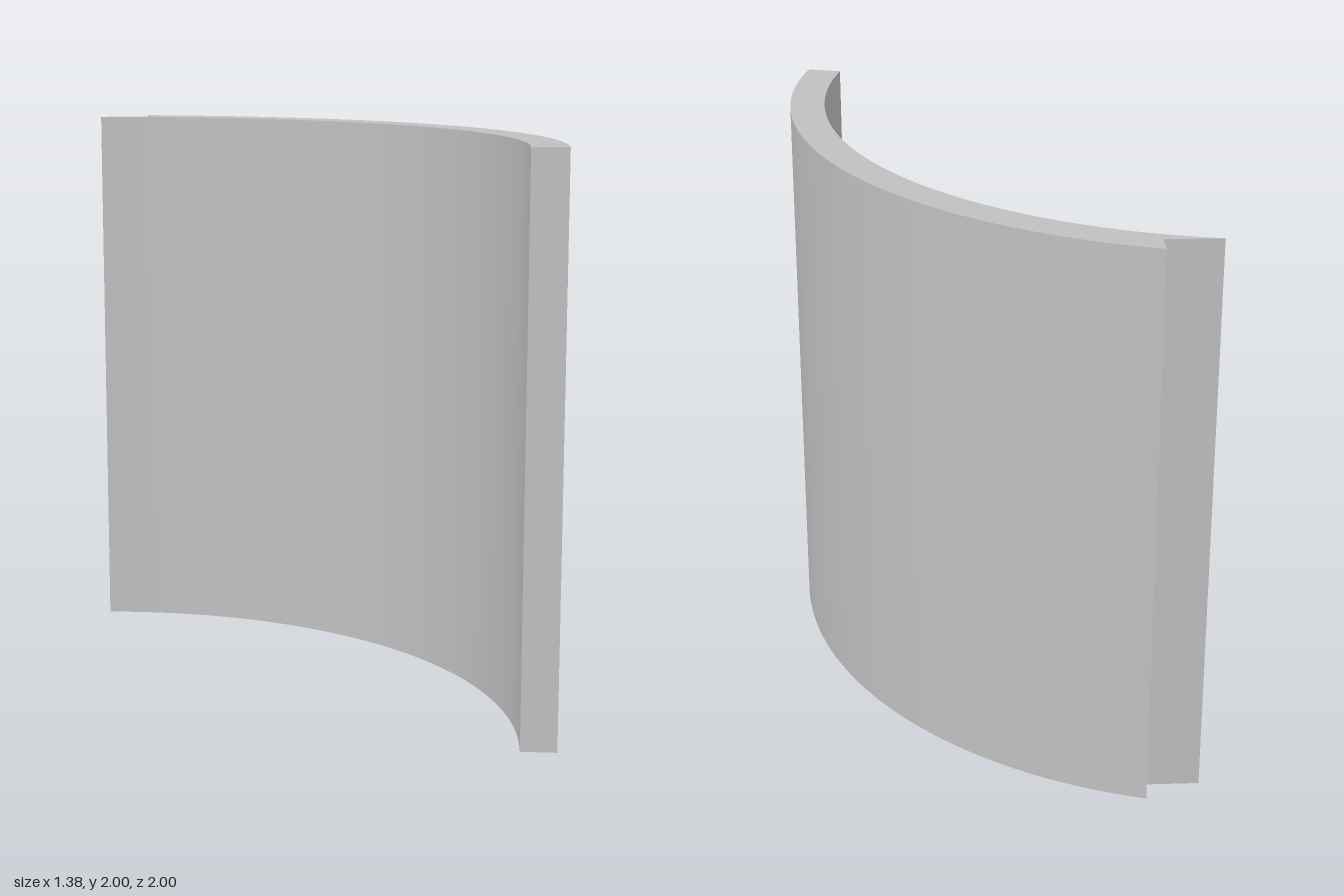
import * as THREE from 'three';
import { toCreasedNormals } from 'three/addons/utils/BufferGeometryUtils.js';

// Shared arc centre and radii, in plan (plan y = -z)
const CX = -0.954, CY = -0.58, OUTER = 1.644, INNER = 1.52, HEIGHT = 2;
const NOTCH_X = -0.5, NOTCH_Y = 0.917;

export function createModel() {
  const group = new THREE.Group();
  const grey = new THREE.MeshStandardMaterial({ color: 0xc0c0c0 });
  grey.name = 'light grey';

  const start = THREE.MathUtils.degToRad(-14.8);
  const outerEnd = Math.acos((NOTCH_X - CX) / OUTER);
  const innerEnd = Math.asin((NOTCH_Y - CY) / INNER);

  // Curved wall plan: square front end, stepped lip at the back end
  const plan = new THREE.Shape();
  plan.absarc(CX, CY, OUTER, start, outerEnd, false);
  plan.lineTo(NOTCH_X, NOTCH_Y);
  plan.absarc(CX, CY, INNER, innerEnd, start, true);
  plan.closePath();

  const geometry = new THREE.ExtrudeGeometry(plan, { depth: HEIGHT, bevelEnabled: false, curveSegments: 32 });
  geometry.rotateX(-Math.PI / 2);
  const wall = new THREE.Mesh(toCreasedNormals(geometry, 0.3), grey);
  wall.name = 'curvedWallPanel';
  group.add(wall);
  return group;
}
